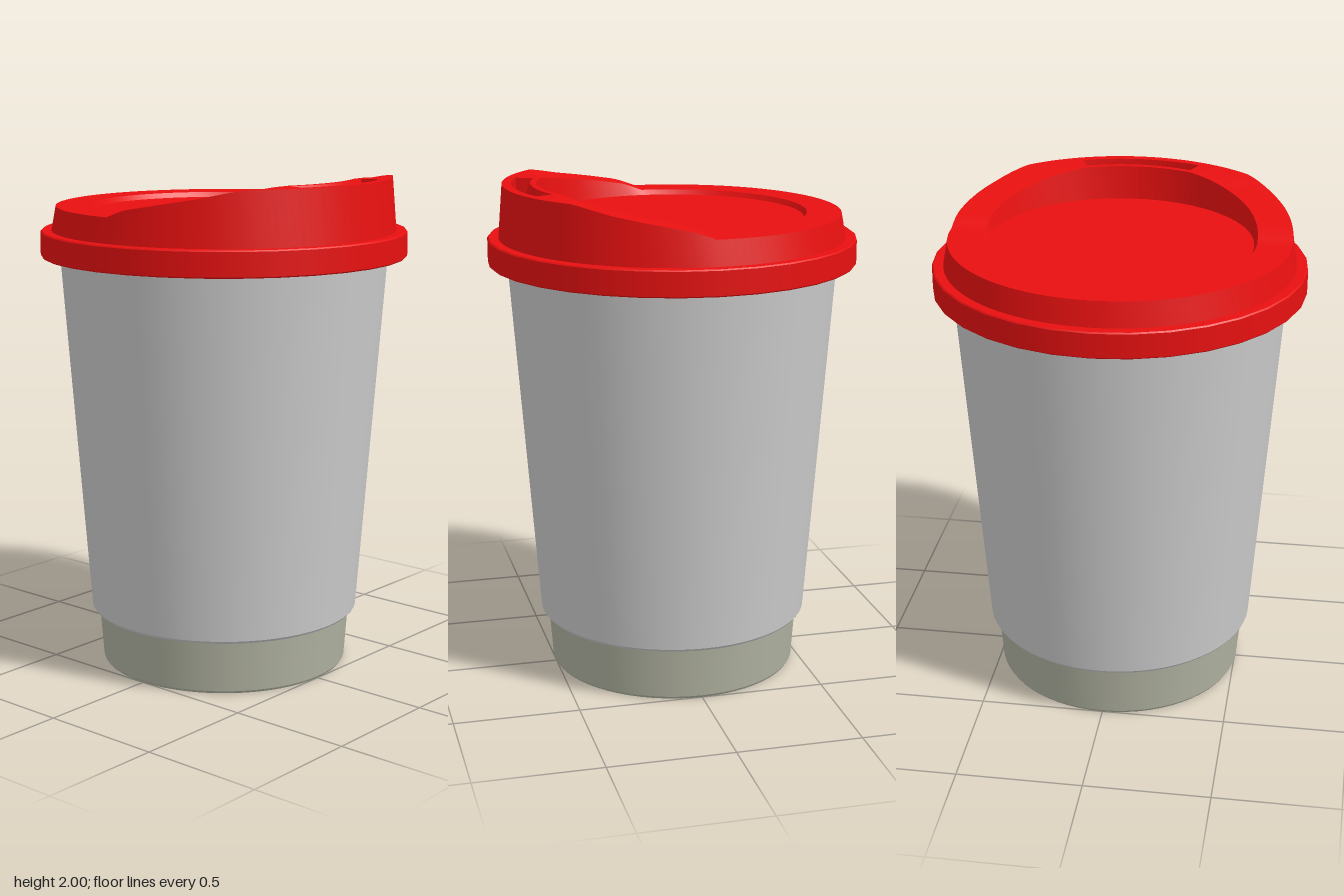
import * as THREE from 'three';
import { mergeGeometries } from 'three/addons/utils/BufferGeometryUtils.js';

const paint = (color) => new THREE.MeshStandardMaterial({ color, side: THREE.DoubleSide });

// Lathe whose profile corners stay sharp: one smooth band per profile segment.
// shape(y, z) may bend the heights of the finished band.
function bands(profile, segments, { start = 0, length = Math.PI * 2, shape } = {}) {
  const parts = [];
  for (let i = 0; i < profile.length - 1; i++) {
    const pair = [profile[i], profile[i + 1]].map(([r, y]) => new THREE.Vector2(r, y));
    const geo = new THREE.LatheGeometry(pair, segments, start, length);
    if (shape) {
      const p = geo.attributes.position;
      for (let k = 0; k < p.count; k++) p.setY(k, shape(p.getY(k), p.getZ(k)));
      geo.computeVertexNormals();
    }
    parts.push(geo);
  }
  return mergeGeometries(parts);
}

// Height of the lid's raised edge: high at the front, ramping down to the back
const RIM = [[0, 1.885], [0.08, 1.915], [0.36, 1.967], [0.49, 2]];
function rimHeight(z) {
  if (z <= RIM[0][0]) return RIM[0][1];
  for (let i = 1; i < RIM.length; i++) {
    const [z0, y0] = RIM[i - 1], [z1, y1] = RIM[i];
    if (z < z1) return y0 + (y1 - y0) * (z - z0) / (z1 - z0);
  }
  return 2;
}

export function createModel() {
  const model = new THREE.Group();
  model.name = 'lidded cup';
  const grey = paint(0xcccccc), stone = paint(0xb0b2a0), red = paint(0xe81010);
  const add = (name, geo, mat, parent = model) => {
    const mesh = new THREE.Mesh(geo, mat);
    mesh.name = name;
    parent.add(mesh);
    return mesh;
  };

  // Foot: hollow ring, open underneath
  add('foot', bands([
    [0.5, 0.2], [0.486, 0.008], [0.49, 0], [0.499, 0], [0.505, 0.01], [0.521, 0.228],
  ], 64), stone);

  // Cup: recessed bottom, tapered wall and rolled lip under the lid
  add('cupBottom', bands([[0, 0.2], [0.502, 0.2]], 64), grey);
  add('cupWall', bands([
    [0.515, 0.222], [0.543, 0.222], [0.55, 0.232], [0.662, 1.74],
  ], 64), grey);
  const lip = add('cupLip', new THREE.TorusGeometry(0.682, 0.028, 10, 64), grey);
  lip.rotation.x = Math.PI / 2;
  lip.position.y = 1.72;

  const lid = new THREE.Group();
  lid.name = 'lid';
  model.add(lid);

  // Skirt around the lip
  add('lidSkirt', bands([
    [0.69, 1.765], [0.71, 1.765], [0.71, 1.685], [0.73, 1.685], [0.735, 1.69],
    [0.735, 1.783], [0.73, 1.788], [0.66, 1.788],
  ], 32), red, lid);

  // Raised edge; profile height 2 stands for the local rim height
  const shape = (y, z) => (y === 2 ? rimHeight(z) : y);
  const half = Math.PI / 8; // half angle of the sip opening
  add('lidOuterWall', bands([[0.69, 1.788], [0.672, 2], [0.635, 2]], 128, { shape }), red, lid);
  add('lidTop', bands([[0.635, 2], [0.56, 2]], 112,
    { start: half, length: Math.PI * 2 - 2 * half, shape }), red, lid);
  add('lidInnerWall', bands([[0.56, 2], [0.535, 2], [0.522, 1.865]], 128, { shape }), red, lid);
  add('lidCentre', bands([[0.522, 1.865], [0, 1.865]], 128), red, lid);

  // Sip opening: steep-sided pocket closed at both ends
  const pocket = [[0.635, 2], [0.63, 1.9], [0.61, 1.9], [0.585, 1.94], [0.56, 2]];
  const sip = new THREE.Group();
  sip.name = 'sipOpening';
  lid.add(sip);
  add('sipPocket', bands(pocket, 16, { start: -half, length: 2 * half }), red, sip);
  const endShape = new THREE.Shape(pocket.map(([r, y]) => new THREE.Vector2(r, y)));
  for (const side of [-1, 1]) {
    const end = add(side < 0 ? 'sipEndRight' : 'sipEndLeft', new THREE.ShapeGeometry(endShape), red, sip);
    end.rotation.y = side * half - Math.PI / 2;
  }

  return model;
}
